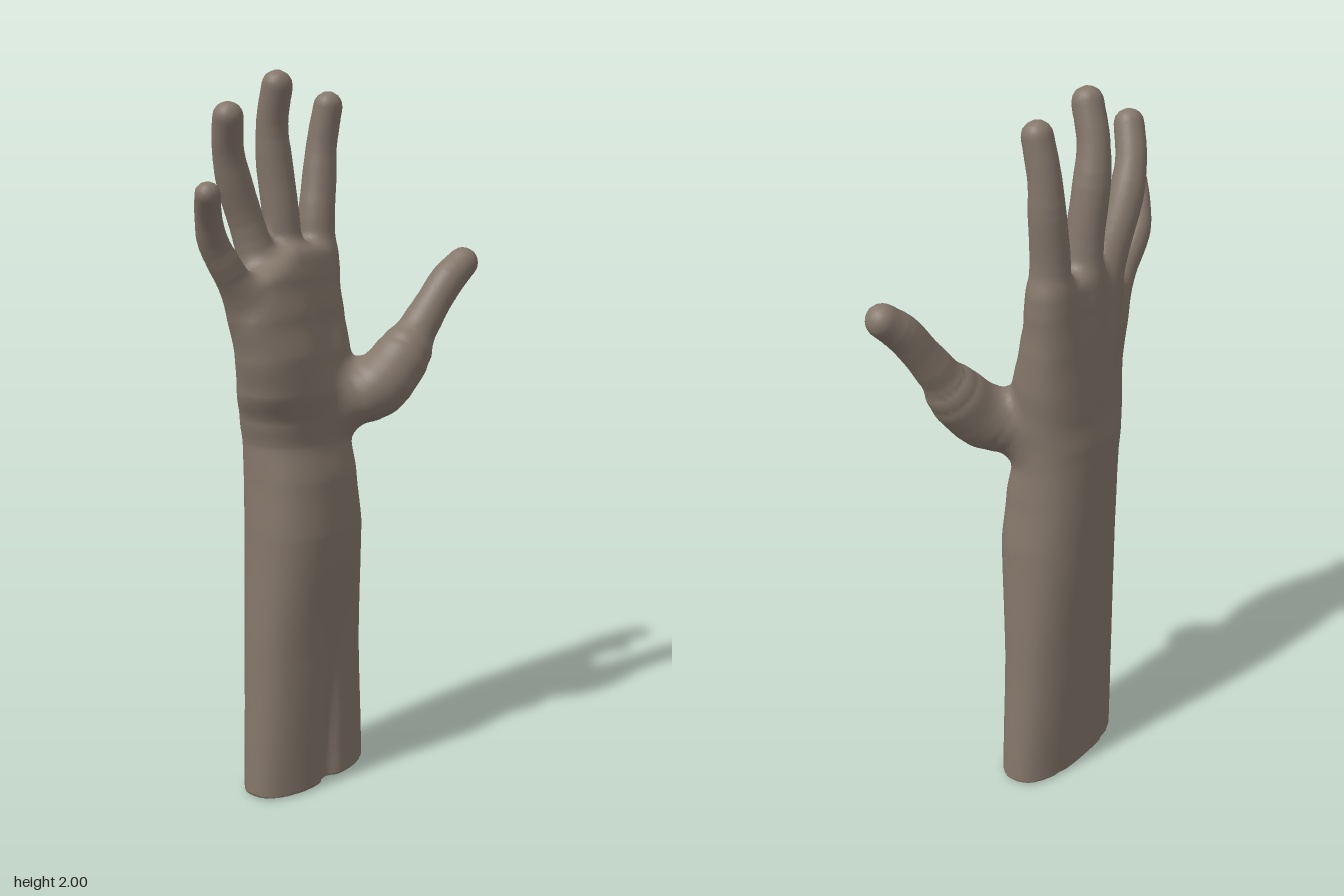
import * as THREE from 'three';
import { mergeVertices } from 'three/addons/utils/BufferGeometryUtils.js';

const { lerp, clamp, smoothstep } = THREE.MathUtils;
const STEP = 0.012;

// Forearm and palm cross-sections: y, xMin, xMax, zBack, zFront
const sections = [
  [0.00, -0.255, 0.190, -0.160, 0.040],
  [0.40, -0.236, 0.165, -0.175, 0.050],
  [0.75, -0.217, 0.150, -0.192, 0.074],
  [0.90, -0.208, 0.135, -0.198, 0.064],
  [1.00, -0.205, 0.128, -0.200, 0.045],
  [1.07, -0.222, 0.130, -0.200, 0.050],
  [1.15, -0.258, 0.138, -0.190, 0.062],
  [1.25, -0.282, 0.148, -0.182, 0.055],
  [1.35, -0.302, 0.148, -0.176, 0.030],
  [1.45, -0.288, 0.140, -0.166, 0.005],
  [1.52, -0.245, 0.132, -0.160, -0.015],
  [1.60, -0.210, 0.125, -0.150, -0.040],
];

// Digits from the hand outwards: x, y, z, radius
const digits = {
  thumb: [[0.07, 1.10, 0.01, 0.072], [0.14, 1.14, 0.065, 0.088], [0.21, 1.21, 0.09, 0.082],
    [0.272, 1.295, 0.108, 0.056], [0.325, 1.37, 0.125, 0.05], [0.37, 1.43, 0.14, 0.05], [0.422, 1.475, 0.155, 0.045]],
  indexFinger: [[0.03, 1.20, -0.12, 0.04], [0.08, 1.46, -0.108, 0.056], [0.083, 1.60, -0.11, 0.052],
    [0.098, 1.71, -0.112, 0.049], [0.105, 1.81, -0.108, 0.043], [0.11, 1.91, -0.09, 0.041]],
  middleFinger: [[-0.03, 1.20, -0.135, 0.04], [-0.055, 1.48, -0.112, 0.056], [-0.066, 1.62, -0.11, 0.051],
    [-0.08, 1.75, -0.118, 0.05], [-0.096, 1.86, -0.112, 0.043], [-0.105, 1.957, -0.085, 0.042]],
  ringFinger: [[-0.08, 1.20, -0.13, 0.04], [-0.155, 1.46, -0.103, 0.054], [-0.188, 1.60, -0.122, 0.048],
    [-0.225, 1.70, -0.128, 0.048], [-0.258, 1.79, -0.12, 0.042], [-0.285, 1.873, -0.092, 0.041]],
  littleFinger: [[-0.13, 1.20, -0.11, 0.04], [-0.25, 1.39, -0.068, 0.05], [-0.315, 1.48, -0.066, 0.044],
    [-0.367, 1.56, -0.072, 0.04], [-0.405, 1.63, -0.05, 0.035], [-0.44, 1.683, -0.016, 0.033]],
};
const digitNames = Object.keys(digits);

// Smooth each digit's path into short tapered segments
const chains = digitNames.map((name) => {
  const pts = digits[name];
  const curve = new THREE.CatmullRomCurve3(pts.map((p) => new THREE.Vector3(p[0], p[1], p[2])));
  const n = (pts.length - 1) * 3;
  return Array.from({ length: n + 1 }, (_, i) => {
    const p = curve.getPoint(i / n);
    const s = Math.min(Math.floor(i / 3), pts.length - 2);
    return [p.x, p.y, p.z, lerp(pts[s][3], pts[s + 1][3], smoothstep(i / 3 - s, 0, 1))];
  });
});

const smoothMin = (a, b, k) => Math.min(a, b) - Math.max(k - Math.abs(a - b), 0) ** 2 / (4 * k);

function digitDistance(chain, x, y, z) {
  let best = 9;
  for (let i = 0; i < chain.length - 1; i++) {
    const a = chain[i], b = chain[i + 1];
    const dx = b[0] - a[0], dy = b[1] - a[1], dz = b[2] - a[2];
    const px = x - a[0], py = y - a[1], pz = z - a[2];
    const t = clamp((px * dx + py * dy + pz * dz) / (dx * dx + dy * dy + dz * dz), 0, 1);
    const d = Math.sqrt((px - t * dx) ** 2 + (py - t * dy) ** 2 + (pz - t * dz) ** 2) - lerp(a[3], b[3], t);
    if (d < best) best = d;
  }
  return best;
}

function bodyDistance(x, y, z) {
  let i = 0;
  while (i < sections.length - 2 && y > sections[i + 1][0]) i++;
  const s = sections[i], e = sections[i + 1];
  const t = smoothstep(y, s[0], e[0]) * 0.5 + clamp((y - s[0]) / (e[0] - s[0]), 0, 1) * 0.5;
  const x0 = lerp(s[1], e[1], t), x1 = lerp(s[2], e[2], t);
  const z0 = lerp(s[3], e[3], t), z1 = lerp(s[4], e[4], t);
  const cx = (x0 + x1) / 2, a = (x1 - x0) / 2, b = (z1 - z0) / 2;
  const palm = smoothstep(y, 1.0, 1.25);
  // The palm leans forward on the little-finger side
  let dz = z - (z0 + z1) / 2 + palm * 0.13 * (x - cx);
  if (dz > 0) {
    // Groove along the forearm and hollow of the palm
    dz += 0.035 * Math.exp(-(((x + 0.03) / 0.03) ** 2)) * (1 - smoothstep(y, 0, 0.55)) * dz / b;
    dz += 0.022 * Math.exp(-(((x + 0.02) / 0.07) ** 2) - ((y - 1.27) / 0.12) ** 2) * dz / b;
  }
  const r = (Math.abs((x - cx) / a) ** 2.4 + Math.abs(dz / b) ** 2.4) ** (1 / 2.4);
  const top = y - (1.545 + 0.4 * Math.min(0, x + 0.1));
  return -smoothMin(-(r - 1) * b, -top, 0.05);
}

// Blended skin: negative inside, positive outside
function skin(x, y, z) {
  let d = bodyDistance(x, y, z);
  if (y > 0.95) {
    chains.forEach((chain, i) => {
      d = smoothMin(d, digitDistance(chain, x, y, z), i === 0 ? 0.055 : 0.03);
    });
  }
  return Math.max(d, -y);
}

function partAt(x, y, z) {
  if (y < 1.02) return 'forearm';
  let best = bodyDistance(x, y, z) - 0.012, name = 'palm';
  chains.forEach((chain, i) => {
    const d = digitDistance(chain, x, y, z);
    if (d < best) { best = d; name = digitNames[i]; }
  });
  return name;
}

// Wrap the blended shape in quads, sorted into named parts
function buildSkin() {
  const lo = [-0.51, -2.5 * STEP, -0.25];
  const size = [86, 173, 41];
  const stride = [1, size[0], size[0] * size[1]];
  const at = (i, j, k) => i + j * stride[1] + k * stride[2];
  const values = new Float32Array(size[0] * size[1] * size[2]);
  const eachCell = (from, fn) => {
    for (let k = from; k < size[2] - 1; k++)
      for (let j = from; j < size[1] - 1; j++)
        for (let i = from; i < size[0] - 1; i++) fn(i, j, k, at(i, j, k));
  };
  for (let k = 0; k < size[2]; k++)
    for (let j = 0; j < size[1]; j++)
      for (let i = 0; i < size[0]; i++)
        values[at(i, j, k)] = skin(lo[0] + i * STEP, lo[1] + j * STEP, lo[2] + k * STEP);

  // One vertex per cell the surface passes through
  const ids = new Int32Array(values.length).fill(-1);
  const positions = [], normals = [];
  const normal = new THREE.Vector3();
  eachCell(0, (i, j, k, c) => {
    const sum = [0, 0, 0];
    let hits = 0;
    for (let corner = 0; corner < 8; corner++) {
      const o = [corner & 1, (corner >> 1) & 1, corner >> 2];
      const v0 = values[c + o[0] + o[1] * stride[1] + o[2] * stride[2]];
      for (let a = 0; a < 3; a++) {
        if (o[a]) continue;
        const v1 = values[c + o[0] + o[1] * stride[1] + o[2] * stride[2] + stride[a]];
        if ((v0 < 0) === (v1 < 0)) continue;
        for (let n = 0; n < 3; n++) sum[n] += o[n] + (n === a ? v0 / (v0 - v1) : 0);
        hits++;
      }
    }
    if (!hits) return;
    const p = [i, j, k].map((g, n) => lo[n] + (g + sum[n] / hits) * STEP);
    const e = 0.006;
    normal.set(
      skin(p[0] + e, p[1], p[2]) - skin(p[0] - e, p[1], p[2]),
      skin(p[0], p[1] + e, p[2]) - skin(p[0], p[1] - e, p[2]),
      skin(p[0], p[1], p[2] + e) - skin(p[0], p[1], p[2] - e)).normalize();
    ids[c] = positions.length / 3;
    positions.push(...p);
    normals.push(normal.x, normal.y, normal.z);
  });

  // One quad per grid edge that crosses the surface
  const parts = {};
  eachCell(1, (i, j, k, c) => {
    for (let a = 0; a < 3; a++) {
      const inside = values[c] < 0;
      if (inside === (values[c + stride[a]] < 0)) continue;
      const sb = stride[(a + 1) % 3], sc = stride[(a + 2) % 3];
      const q = [ids[c], ids[c - sb], ids[c - sb - sc], ids[c - sc]];
      if (!inside) q.reverse();
      const name = partAt(...positions.slice(q[0] * 3, q[0] * 3 + 3));
      (parts[name] ??= []).push(q[0], q[1], q[2], q[0], q[2], q[3]);
    }
  });
  return { positions, normals, parts };
}

export function createModel() {
  const group = new THREE.Group();
  group.name = 'raisedArm';
  const skinMaterial = new THREE.MeshStandardMaterial({ color: 0x84766a });
  skinMaterial.name = 'brownSkin';
  const { positions, normals, parts } = buildSkin();
  for (const [name, index] of Object.entries(parts)) {
    const geometry = new THREE.BufferGeometry();
    geometry.setAttribute('position', new THREE.Float32BufferAttribute(positions, 3));
    geometry.setAttribute('normal', new THREE.Float32BufferAttribute(normals, 3));
    geometry.setIndex(index);
    const mesh = new THREE.Mesh(mergeVertices(geometry, 1e-6), skinMaterial);
    mesh.name = name;
    group.add(mesh);
  }
  return group;
}
